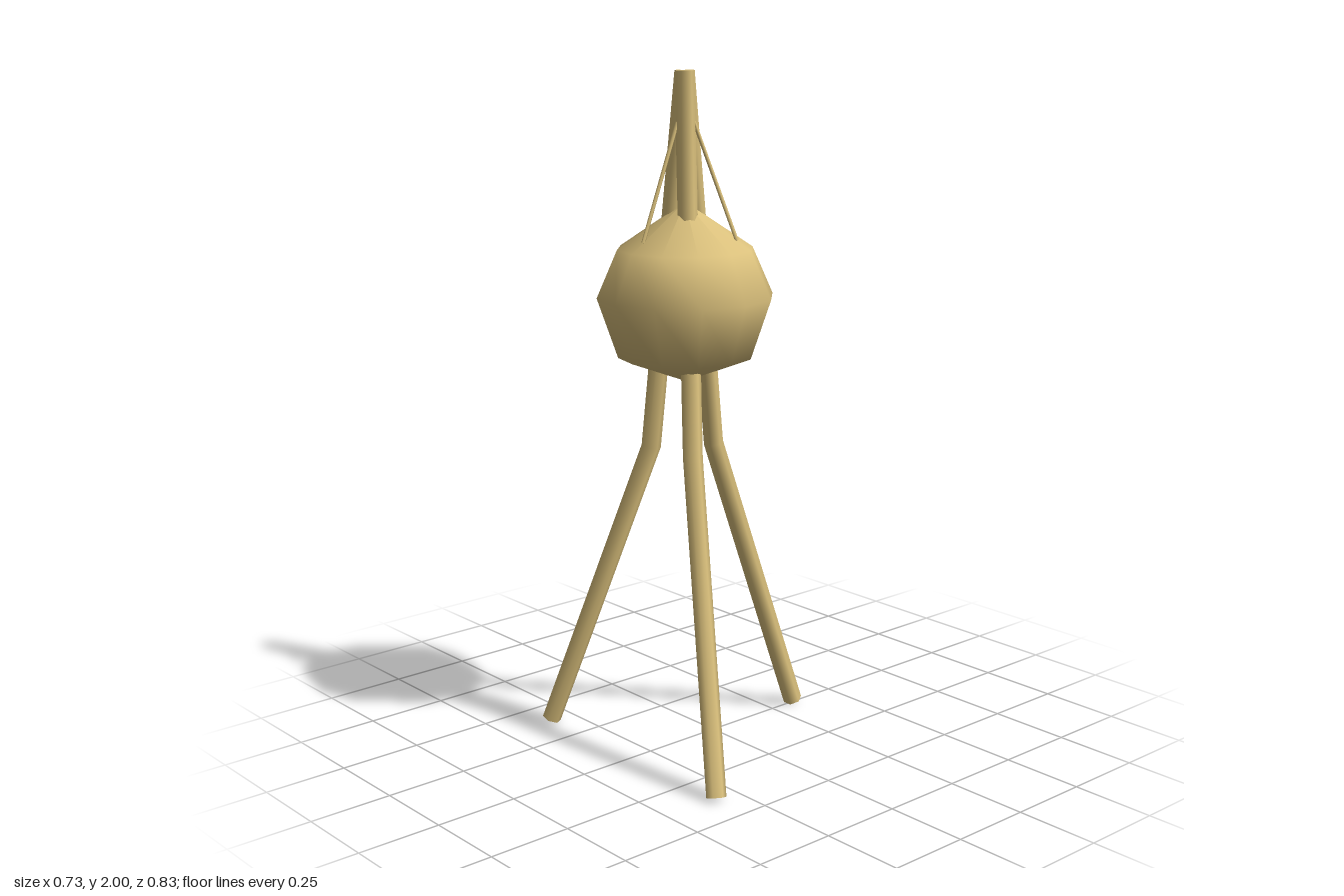
import * as THREE from 'three';

const SIDES = 6;

// Hexagonal rod along a path of [x, y] points, with mitred bends and flat ends.
function rodGeometry(path, radius) {
  const pts = path.map(([x, y]) => new THREE.Vector2(x, y));
  const last = pts.length - 1;
  const dir = (i) => pts[i + 1].clone().sub(pts[i]).normalize();
  const pos = [], index = [];

  const ring = (i) => {
    const before = dir(Math.max(i - 1, 0));
    const t = before.clone().add(dir(Math.min(i, last - 1))).normalize();
    const stretch = radius / t.dot(before);
    for (let k = 0; k < SIDES; k++) {
      const a = (k / SIDES) * Math.PI * 2;
      const s = Math.sin(a) * stretch;
      pos.push(pts[i].x + t.y * s, pts[i].y - t.x * s, Math.cos(a) * radius);
    }
  };

  // walls
  pts.forEach((_, i) => ring(i));
  for (let i = 0; i < last; i++) {
    for (let k = 0; k < SIDES; k++) {
      const a = i * SIDES + k, b = i * SIDES + (k + 1) % SIDES;
      index.push(a, b, b + SIDES, a, b + SIDES, a + SIDES);
    }
  }
  // end caps with their own vertices, so their rims stay sharp
  for (const end of [0, last]) {
    const base = pos.length / 3;
    ring(end);
    for (let k = 1; k < SIDES - 1; k++) {
      if (end === 0) index.push(base, base + k + 1, base + k);
      else index.push(base, base + k, base + k + 1);
    }
  }

  const geo = new THREE.BufferGeometry();
  geo.setAttribute('position', new THREE.Float32BufferAttribute(pos, 3));
  geo.setIndex(index);
  geo.computeVertexNormals();
  return geo;
}

export function createModel() {
  const model = new THREE.Group();
  model.name = 'tripodTower';
  const sand = new THREE.MeshStandardMaterial({ color: 0xdac07c });
  sand.name = 'sand';

  // everything turns around one vertical axis, set off from the centre
  const tower = new THREE.Group();
  tower.name = 'tower';
  tower.position.x = -0.107;
  model.add(tower);

  const add = (name, geometry, angle = 0) => {
    const mesh = new THREE.Mesh(geometry, sand);
    mesh.name = name;
    mesh.rotation.y = angle;
    tower.add(mesh);
  };

  // faceted round body
  const profile = [[0, 1.112], [0.197, 1.188], [0.257, 1.363], [0.197, 1.5], [0, 1.633]]
    .map(([r, y]) => new THREE.Vector2(r, y));
  add('body', new THREE.LatheGeometry(profile, 12));

  // legs meet at the tip, pass through the body and bend outwards at the knee
  const leg = rodGeometry([[0, 1.998], [0.108, 0.91], [0.445, 0.01]], 0.029);
  // thin braces between the legs, from the body up to the spire
  const brace = rodGeometry([[0.155, 1.528], [0.015, 1.89]], 0.0055);

  for (let i = 0; i < 3; i++) {
    const angle = (i * Math.PI * 2) / 3;
    add('leg' + (i + 1), leg, angle);
    add('brace' + (i + 1), brace, angle + Math.PI);
  }
  return model;
}
